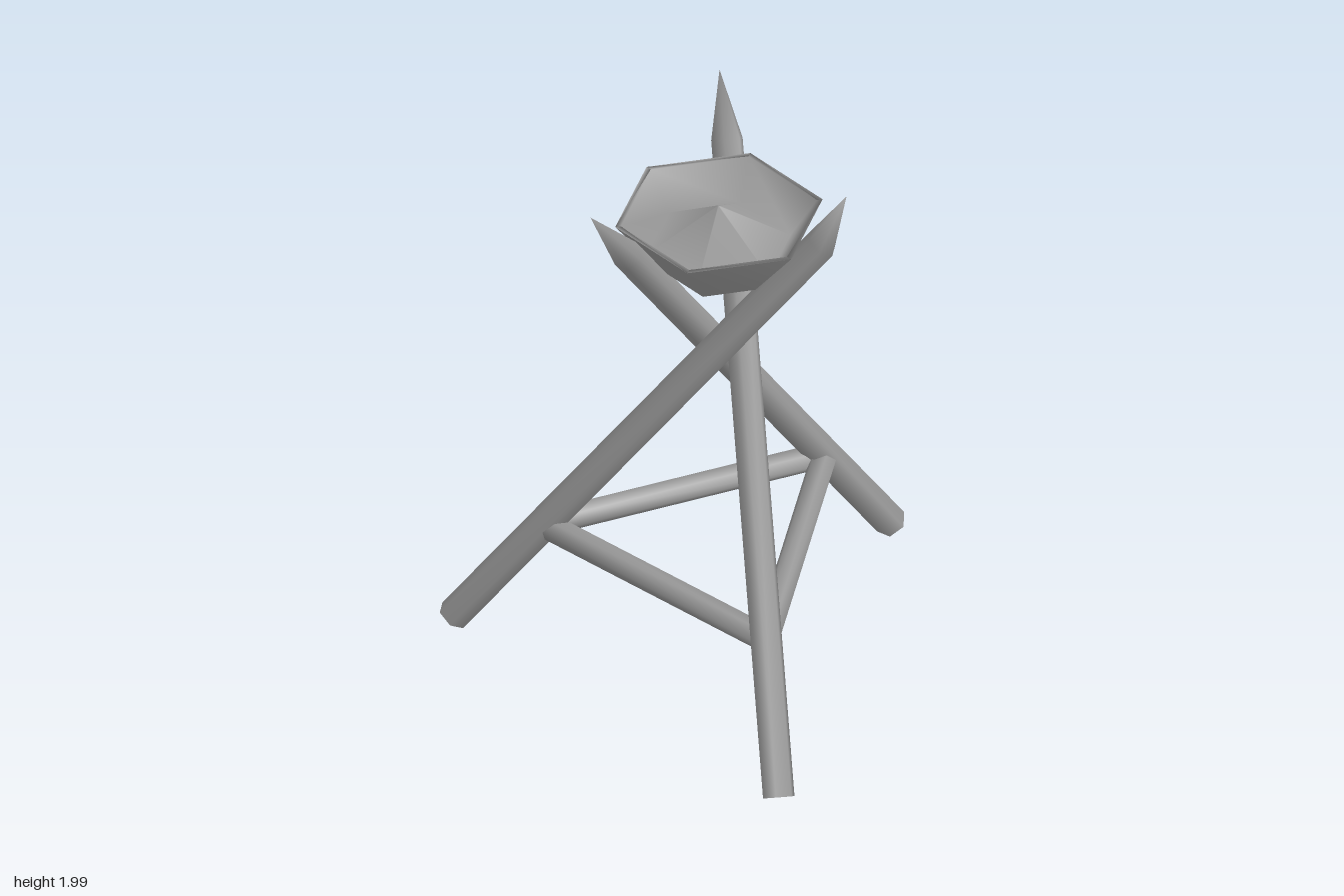
import * as THREE from 'three';
import { mergeVertices } from 'three/addons/utils/BufferGeometryUtils.js';

const UP = new THREE.Vector3(0, 1, 0);
const LEG_RADIUS = 0.056;
const BAR_RADIUS = 0.045;
const BAR_HEIGHT = 0.465;

// foot centre, shoulder centre (where the point starts), tip
const LEGS = [
  { name: 'backLeg', foot: [-0.143, 0.037, -0.723], shoulder: [-0.143, 1.735, 0.468], tip: [-0.15, 1.97, 0.635] },
  { name: 'rightLeg', foot: [-0.745, 0.04, 0.71], shoulder: [0.28, 1.77, -0.02], tip: [0.343, 1.97, -0.073] },
  { name: 'leftLeg', foot: [0.743, 0.037, 0.605], shoulder: [-0.315, 1.82, -0.138], tip: [-0.44, 2.0, -0.22] },
];

export function createModel() {
  const group = new THREE.Group();
  group.name = 'tripodBrazier';
  const material = new THREE.MeshStandardMaterial({ color: 0x999999 });

  const add = (name, geometry) => {
    const mesh = new THREE.Mesh(geometry, material);
    mesh.name = name;
    group.add(mesh);
    return mesh;
  };
  const vec = (a) => new THREE.Vector3(...a);

  // Shade a pole softly all round, its end included
  const soften = (geometry) => {
    geometry.deleteAttribute('uv');
    geometry.deleteAttribute('normal');
    const merged = mergeVertices(geometry);
    merged.computeVertexNormals();
    return merged;
  };

  // Stand a +y geometry at point a, aimed at point b
  const aim = (mesh, a, b) => {
    mesh.position.copy(a);
    mesh.quaternion.setFromUnitVectors(UP, b.clone().sub(a).normalize());
  };

  // Hexagonal pole whose sharpened end may lean away from the axis
  const addLeg = ({ name, foot, shoulder, tip }) => {
    const a = vec(foot), b = vec(shoulder);
    const length = a.distanceTo(b);
    const turn = new THREE.Quaternion().setFromUnitVectors(UP, b.clone().sub(a).normalize());
    const localTip = vec(tip).sub(a).applyQuaternion(turn.invert());
    const geometry = new THREE.CylinderGeometry(0, LEG_RADIUS, 2, 6, 2, false, Math.PI / 2 + 0.15);
    const p = geometry.attributes.position;
    for (let i = 0; i < p.count; i++) {
      const y = p.getY(i);
      if (y > 0.5) p.setXYZ(i, localTip.x, localTip.y, localTip.z);
      else if (y > -0.5) p.setXYZ(i, p.getX(i) * 2, length, p.getZ(i) * 2);
      else p.setY(i, 0);
    }
    aim(add(name, soften(geometry)), a, b);
  };
  LEGS.forEach(addLeg);

  // Cross bars joining the legs at one height
  const joints = LEGS.map(({ foot, shoulder }) =>
    vec(foot).lerp(vec(shoulder), (BAR_HEIGHT - foot[1]) / (shoulder[1] - foot[1])));
  ['rightCrossBar', 'frontCrossBar', 'leftCrossBar'].forEach((name, i) => {
    const a = joints[i], b = joints[(i + 1) % 3];
    const length = a.distanceTo(b);
    const geometry = new THREE.CylinderGeometry(BAR_RADIUS, BAR_RADIUS, length, 6);
    geometry.translate(0, length / 2, 0);
    aim(add(name, soften(geometry)), a, b);
  });

  // Hexagonal bowl: outer wall, thin rim, inner wall and the low heap filling it
  const lathe = (points) =>
    new THREE.LatheGeometry(points.map(([r, y]) => new THREE.Vector2(r, y)), 6, Math.PI / 2);
  const bowl = add('bowl', lathe([
    [0.18, 1.6], [0.355, 1.82], [0.335, 1.82], [0.245, 1.69], [0.004, 1.85], [0, 1.85],
  ]));
  const base = add('bowlBase', lathe([[0, 1.6], [0.18, 1.6]]));
  for (const part of [bowl, base]) part.position.set(-0.027, 0, 0.165);

  return group;
}
